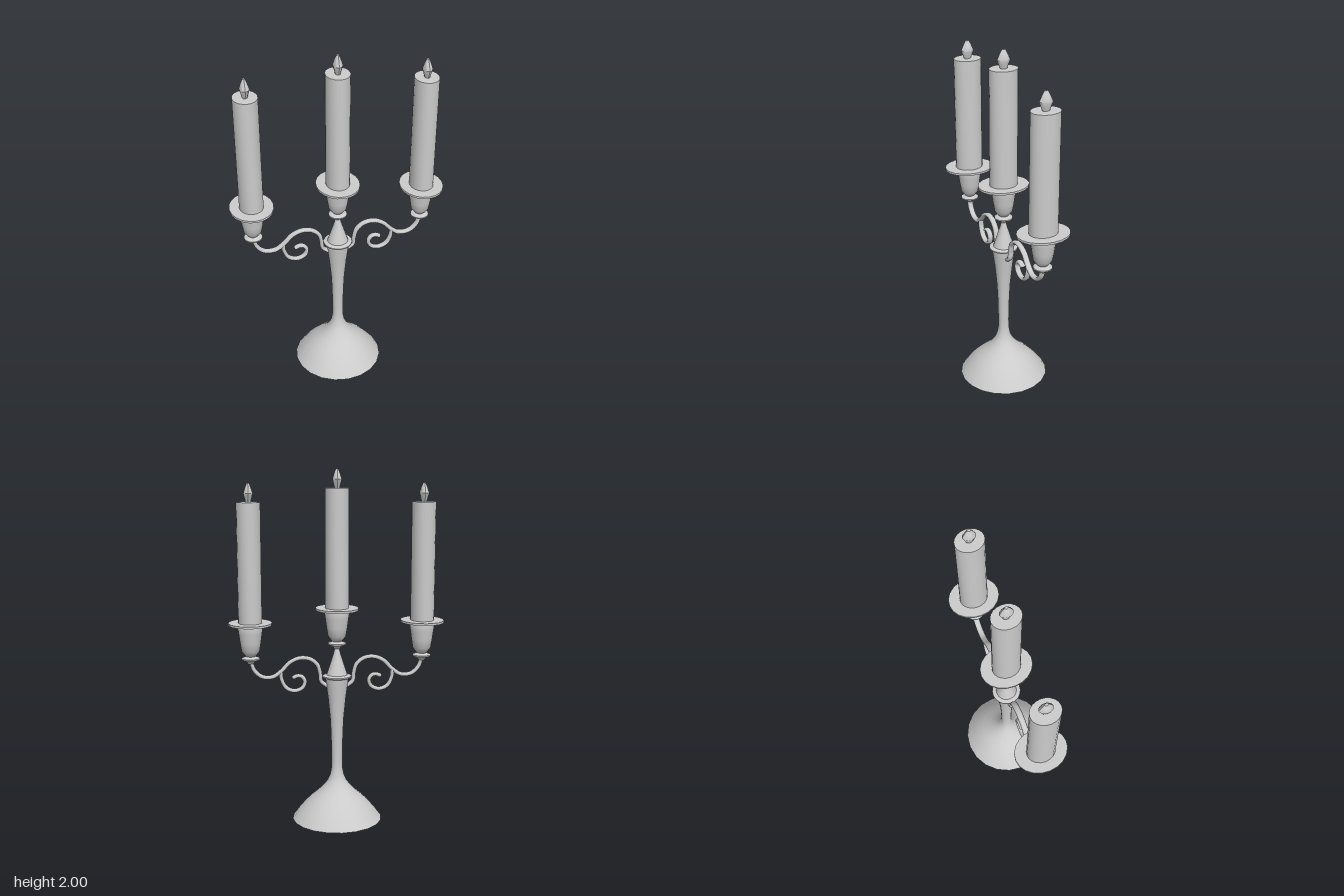
import * as THREE from 'three';
import { toCreasedNormals } from 'three/addons/utils/BufferGeometryUtils.js';

const material = new THREE.MeshStandardMaterial({ color: 0xcccccc });
const SEGMENTS = 20;

// Turned part from [radius, height] pairs, bottom to top; depth stretches it in z.
function turned(name, profile, depth = 1, segments = SEGMENTS, crease = 0.7) {
  const points = profile.map(([r, y]) => new THREE.Vector2(r, y));
  const geometry = new THREE.LatheGeometry(points, segments);
  geometry.scale(1, 1, depth);
  const mesh = new THREE.Mesh(toCreasedNormals(geometry, crease), material);
  mesh.name = name;
  return mesh;
}

// Cup, drip tray, candle and flame; the origin is the underside of the tray.
function candleHolder(name) {
  const group = new THREE.Group();
  group.name = name;
  group.add(
    turned('cup', [
      [0, -0.222], [0.016, -0.222], [0.022, -0.212], [0.052, -0.196], [0.052, -0.189],
      [0.026, -0.179], [0.036, -0.168], [0.051, -0.148], [0.059, -0.1],
      [0.066, -0.05], [0.071, -0.016], [0.068, -0.004], [0, -0.004],
    ]),
    turned('dripTray', [[0, 0], [0.122, 0], [0.122, 0.012], [0, 0.012]], 1.2),
    turned('candle', [[0, 0.008], [0.067, 0.008], [0.067, 0.675], [0, 0.675]], 1.2),
    turned('flame', [
      [0, 0.67], [0.013, 0.67], [0.02, 0.695], [0.027, 0.722],
      [0.018, 0.75], [0.007, 0.777], [0, 0.777],
    ], 1.4, 10),
  );
  return group;
}

// Flattened rod along a path in the xy plane, with rounded ends.
function rod(name, path, radius) {
  const group = new THREE.Group();
  group.name = name;
  const points = path.map(([x, y]) => new THREE.Vector3(x, y, 0));
  const curve = new THREE.CatmullRomCurve3(points);
  group.add(new THREE.Mesh(new THREE.TubeGeometry(curve, 48, radius, 8), material));
  for (const end of [points[0], points[points.length - 1]]) {
    const cap = new THREE.Mesh(new THREE.SphereGeometry(radius, 8, 6), material);
    cap.position.copy(end);
    group.add(cap);
  }
  group.scale.z = 1.5;
  return group;
}

export function createModel() {
  const model = new THREE.Group();
  model.name = 'candelabrum';

  // Flared foot and tapering column
  model.add(turned('footAndColumn', [
    [0, 0], [0.258, 0], [0.225, 0.045], [0.188, 0.09], [0.15, 0.128], [0.112, 0.16],
    [0.08, 0.192], [0.055, 0.225], [0.04, 0.26], [0.032, 0.305], [0.031, 0.36],
    [0.034, 0.5], [0.039, 0.6], [0.051, 0.72], [0.062, 0.8], [0.066, 0.835], [0, 0.835],
  ]));

  // Collar and spire above the column
  model.add(turned('collar', [
    [0, 0.83], [0.066, 0.832], [0.082, 0.839], [0.082, 0.846], [0.06, 0.853], [0, 0.853],
  ]));
  model.add(turned('spire', [
    [0.06, 0.85], [0.05, 0.88], [0.034, 0.93], [0.02, 0.975], [0.012, 1.01], [0, 1.01],
  ]));

  const centre = candleHolder('centreCandleHolder');
  centre.position.y = 1.223;
  model.add(centre);

  // Scrolled arms with their candles, mirrored left and right
  const armPath = [
    [0.485, 0.935], [0.468, 0.888], [0.425, 0.85], [0.365, 0.847], [0.315, 0.88],
    [0.268, 0.928], [0.212, 0.952], [0.155, 0.946], [0.112, 0.912], [0.096, 0.862],
    [0.09, 0.815], [0.06, 0.79],
  ];
  const scrollPath = [
    [0.318, 0.878], [0.314, 0.83], [0.288, 0.782], [0.24, 0.764], [0.196, 0.782],
    [0.183, 0.818], [0.2, 0.845], [0.225, 0.85], [0.245, 0.842],
  ];
  for (const [side, label] of [[1, 'left'], [-1, 'right']]) {
    const mirror = (path) => path.map(([x, y]) => [side * x, y]);
    model.add(rod(`${label}Arm`, mirror(armPath), 0.012));
    model.add(rod(`${label}Scroll`, mirror(scrollPath), 0.0115));
    const holder = candleHolder(`${label}CandleHolder`);
    holder.position.set(side * 0.486, 1.147, 0);
    model.add(holder);
  }
  return model;
}
